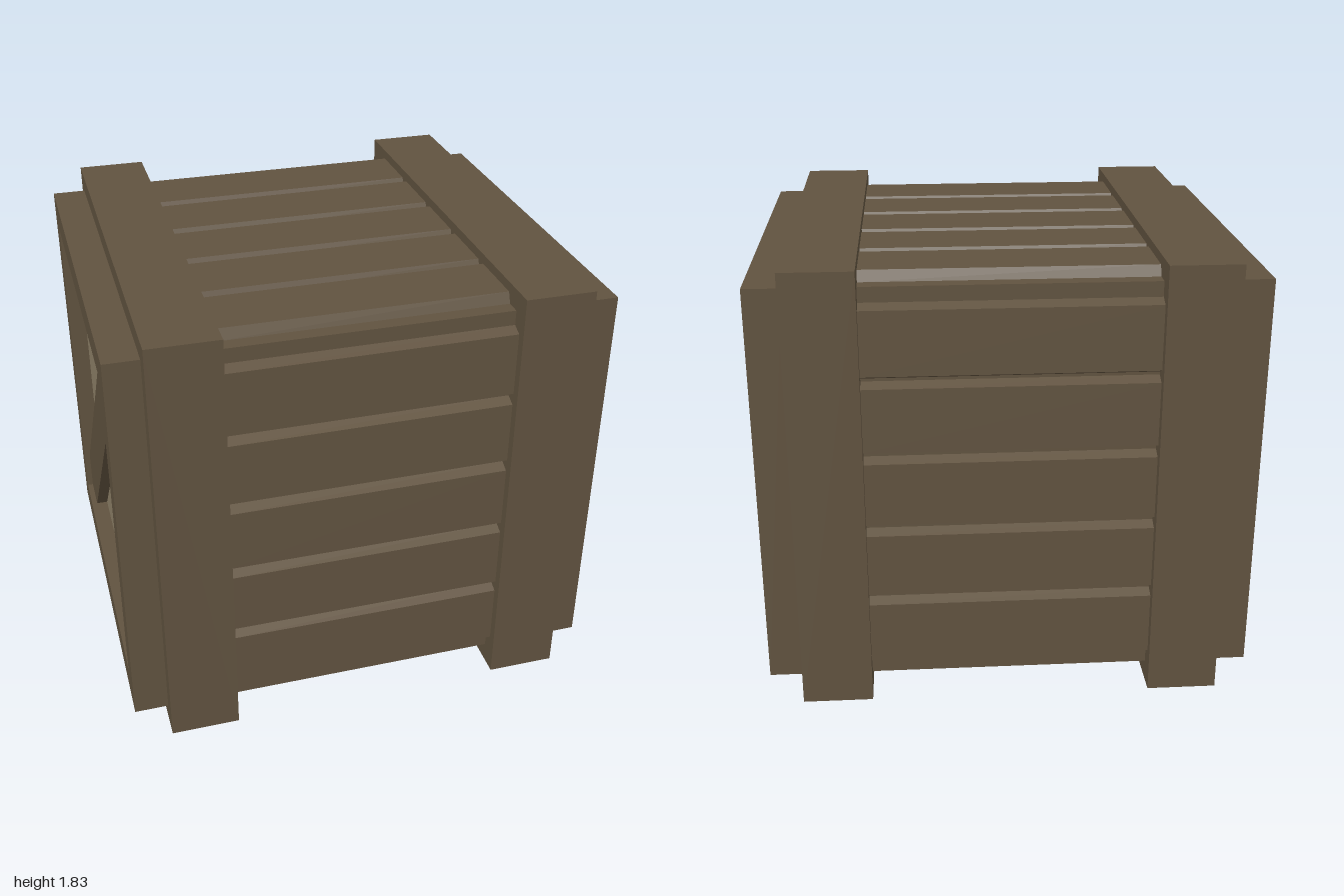
import * as THREE from 'three';

const CENTER = 0.917;   // half the height of the crate
const CORE = 0.835;     // half size of the inner box
const OPEN = 0.71;      // half size of the end openings

// Closed shape from a list of 2D points
function polygon(points) {
  return new THREE.Shape(points.map(([x, y]) => new THREE.Vector2(x, y)));
}

// Shape in (-z, y) extruded along +x, from x0 to x1
function extrudeX(shape, x0, x1) {
  const geo = new THREE.ExtrudeGeometry(shape, { depth: x1 - x0, bevelEnabled: false });
  geo.rotateY(Math.PI / 2);
  geo.translate(x0, 0, 0);
  return geo;
}

function square(h) {
  return [[-h, -h], [h, -h], [h, h], [-h, h]];
}

function squareRing(outer, inner) {
  const shape = polygon(square(outer));
  shape.holes.push(polygon(square(inner)));
  return shape;
}

export function createModel() {
  const darkWood = new THREE.MeshStandardMaterial({ color: 0x60523f });
  darkWood.name = 'darkWood';
  const paleWood = new THREE.MeshStandardMaterial({ color: 0x8d8067 });
  paleWood.name = 'paleWood';

  const crate = new THREE.Group();
  crate.name = 'crate';
  crate.position.y = CENTER;

  const add = (parent, name, geo, mat) => {
    const mesh = new THREE.Mesh(geo, mat);
    mesh.name = name;
    parent.add(mesh);
    return mesh;
  };

  // Inner box behind the planks
  add(crate, 'innerBox', new THREE.BoxGeometry(1.2, CORE * 2, CORE * 2), darkWood);

  // Five bevelled planks on each of the four long sides
  const plankGeo = extrudeX(
    polygon([[-0.15, CORE - 0.01], [0.15, CORE - 0.01], [0.15, CORE], [0.131, 0.878], [-0.131, 0.878], [-0.15, CORE]]),
    -0.58, 0.58
  );
  ['top', 'front', 'bottom', 'back'].forEach((side, k) => {
    const planks = new THREE.Group();
    planks.name = side + 'Planks';
    planks.rotation.x = k * Math.PI / 2;
    for (let i = -2; i <= 2; i++) {
      add(planks, 'plank', plankGeo, darkWood).position.z = i * 0.312;
    }
    crate.add(planks);
  });

  // Ends: thick band, outer frame, recessed panel and diagonal brace
  const bandGeo = extrudeX(squareRing(CENTER, CORE - 0.03), 0.575, 0.86);
  const frameGeo = extrudeX(squareRing(CORE, OPEN), 0.85, 1);
  const panelGeo = new THREE.BoxGeometry(0.075, OPEN * 2 + 0.04, OPEN * 2 + 0.04);
  panelGeo.translate(0.8875, 0, 0);
  const braceGeo = extrudeX(
    polygon([[-OPEN, OPEN], [-OPEN, 0.555], [0.535, -OPEN], [OPEN, -OPEN], [OPEN, -0.53], [-0.515, OPEN]]),
    0.92, 0.975
  );
  for (const side of [1, -1]) {
    const end = new THREE.Group();
    end.name = side > 0 ? 'leftEnd' : 'rightEnd';
    end.scale.x = side;
    add(end, 'band', bandGeo, darkWood);
    add(end, 'endFrame', frameGeo, darkWood);
    add(end, 'endPanel', panelGeo, paleWood);
    add(end, 'diagonalBrace', braceGeo, darkWood);
    crate.add(end);
  }

  const model = new THREE.Group();
  model.add(crate);
  return model;
}
